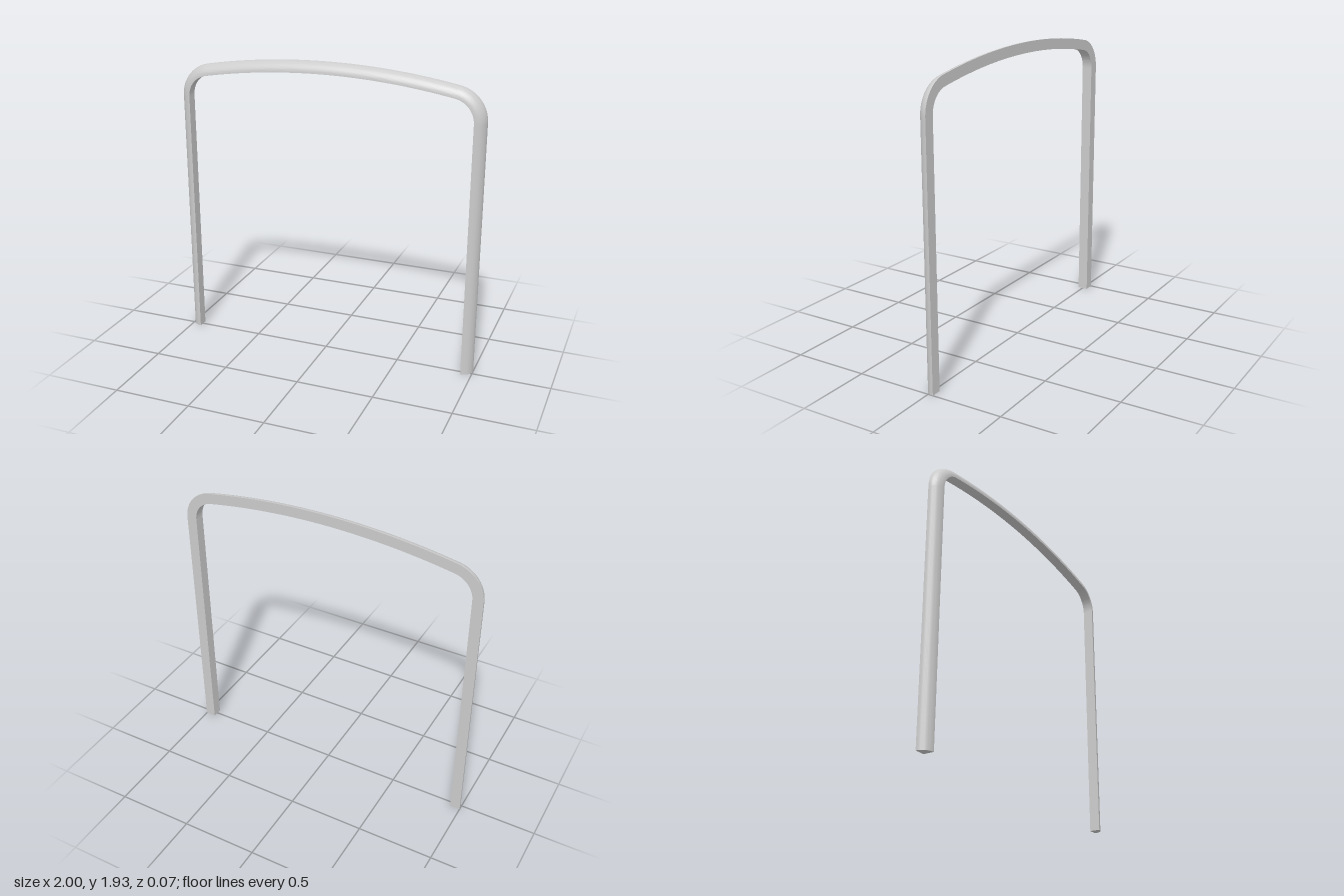
import * as THREE from 'three';
import { toCreasedNormals } from 'three/addons/utils/BufferGeometryUtils.js';

const T = 0.068;                          // width and depth of the quarter-round section
const LEG = 1.645;                        // leg height
const BEND = 0.213;                       // outer radius of the corner bends
const TILT = THREE.MathUtils.degToRad(10.5); // half angle of the shallow arch
const STEPS = 16;

// Quarter-round section: flat back, flat inner side, rounded outer front
function section(outer) {
  const pts = [[outer - T, -T / 2]];
  for (let i = 0; i <= STEPS; i++) {
    const a = (i / STEPS) * Math.PI / 2;
    pts.push([outer - T + T * Math.cos(a), -T / 2 + T * Math.sin(a)]);
  }
  return pts.map(([x, y]) => new THREE.Vector2(x, y));
}

// Section swept around a z axis, angles measured from +x
function sweep(radius, start, length, segments) {
  const pts = section(radius);
  pts.push(pts[0].clone());
  const geo = new THREE.LatheGeometry(pts, segments, start + Math.PI / 2, length);
  return geo.rotateX(Math.PI / 2);
}

export function createModel() {
  const group = new THREE.Group();
  const material = new THREE.MeshStandardMaterial({ color: 0xcccccc });
  const add = (name, geo, x, y) => {
    const mesh = new THREE.Mesh(toCreasedNormals(geo, 0.6), material);
    mesh.name = name;
    mesh.position.set(x, y, 0);
    group.add(mesh);
  };

  for (const side of [1, -1]) {
    const label = side > 0 ? 'left' : 'right';

    // Straight upright leg
    const shape = new THREE.Shape(section(1).map((p) => new THREE.Vector2(p.x * side, p.y)));
    const leg = new THREE.ExtrudeGeometry(shape, { depth: LEG, bevelEnabled: false });
    add(label + 'Leg', leg.rotateX(Math.PI / 2), 0, LEG);

    // Rounded corner between leg and arch
    const start = side > 0 ? 0 : Math.PI / 2 + TILT;
    add(label + 'Bend', sweep(BEND, start, Math.PI / 2 - TILT, 24), side * (1 - BEND), LEG);
  }

  // Shallow top arch, tangent to both bends
  const endX = 1 - BEND + BEND * Math.sin(TILT);
  const endY = LEG + BEND * Math.cos(TILT);
  const radius = endX / Math.sin(TILT);
  add('topArch', sweep(radius, Math.PI / 2 - TILT, 2 * TILT, 40), 0, endY - radius * Math.cos(TILT));

  return group;
}
